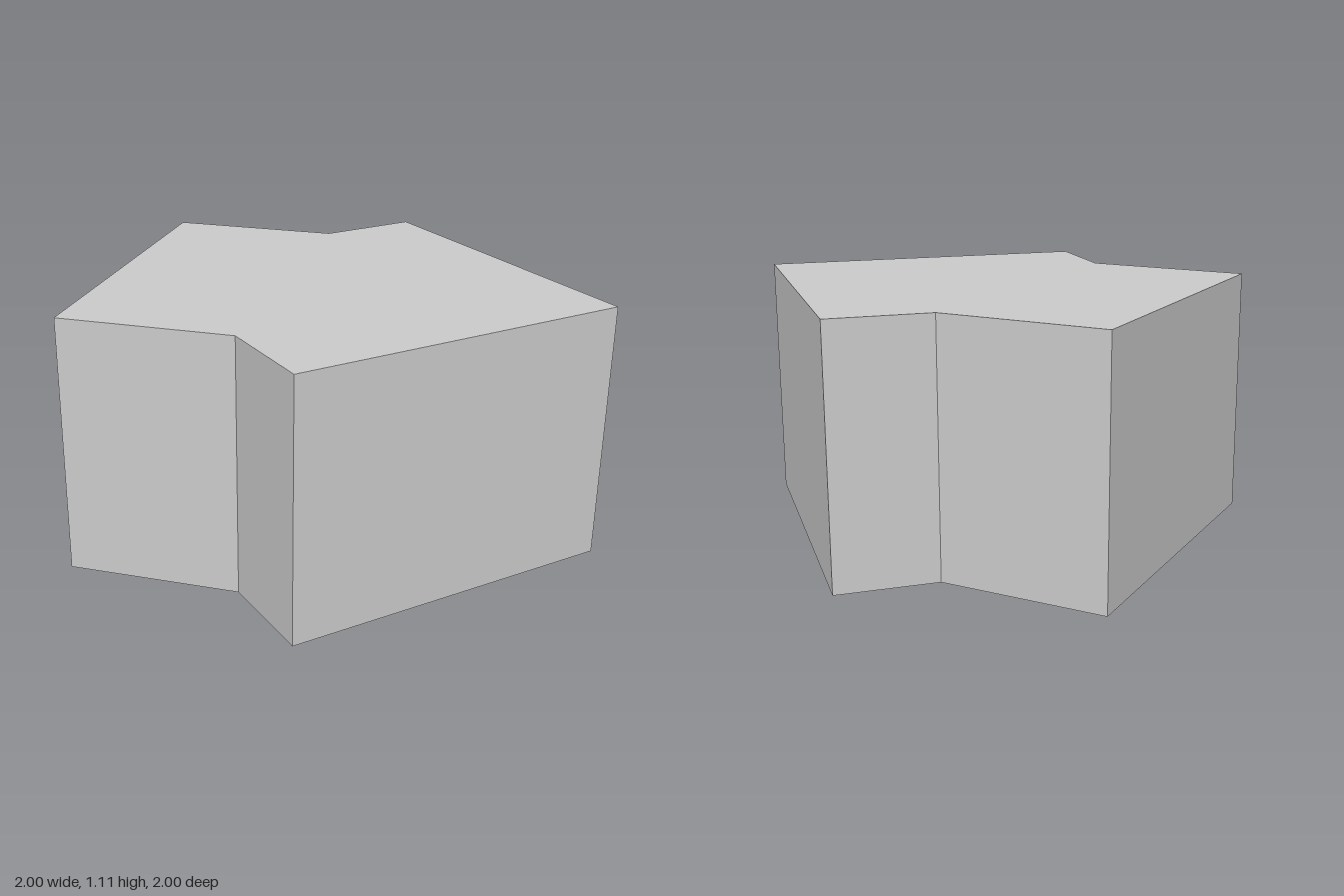
import * as THREE from 'three';

export function createModel() {
  const group = new THREE.Group();
  const height = 1.107;

  // Floor outline as [x, z]: a square corner block joined to a diagonal wing
  const outline = [
    [-1, 0.04], [-0.48, 0.56], [-0.48, 1], [1, 1],
    [1, -0.48], [0.56, -0.48], [0.04, -1],
  ];
  const shape = new THREE.Shape(outline.map(([x, z]) => new THREE.Vector2(x, -z)));

  // Straight prism, turned so that the extrusion runs upwards
  const geometry = new THREE.ExtrudeGeometry(shape, { depth: height, bevelEnabled: false });
  geometry.rotateX(-Math.PI / 2);

  const material = new THREE.MeshStandardMaterial({ color: 0xcccccc, flatShading: true });
  const block = new THREE.Mesh(geometry, material);
  block.name = 'arrowBlock';
  group.add(block);
  return group;
}
